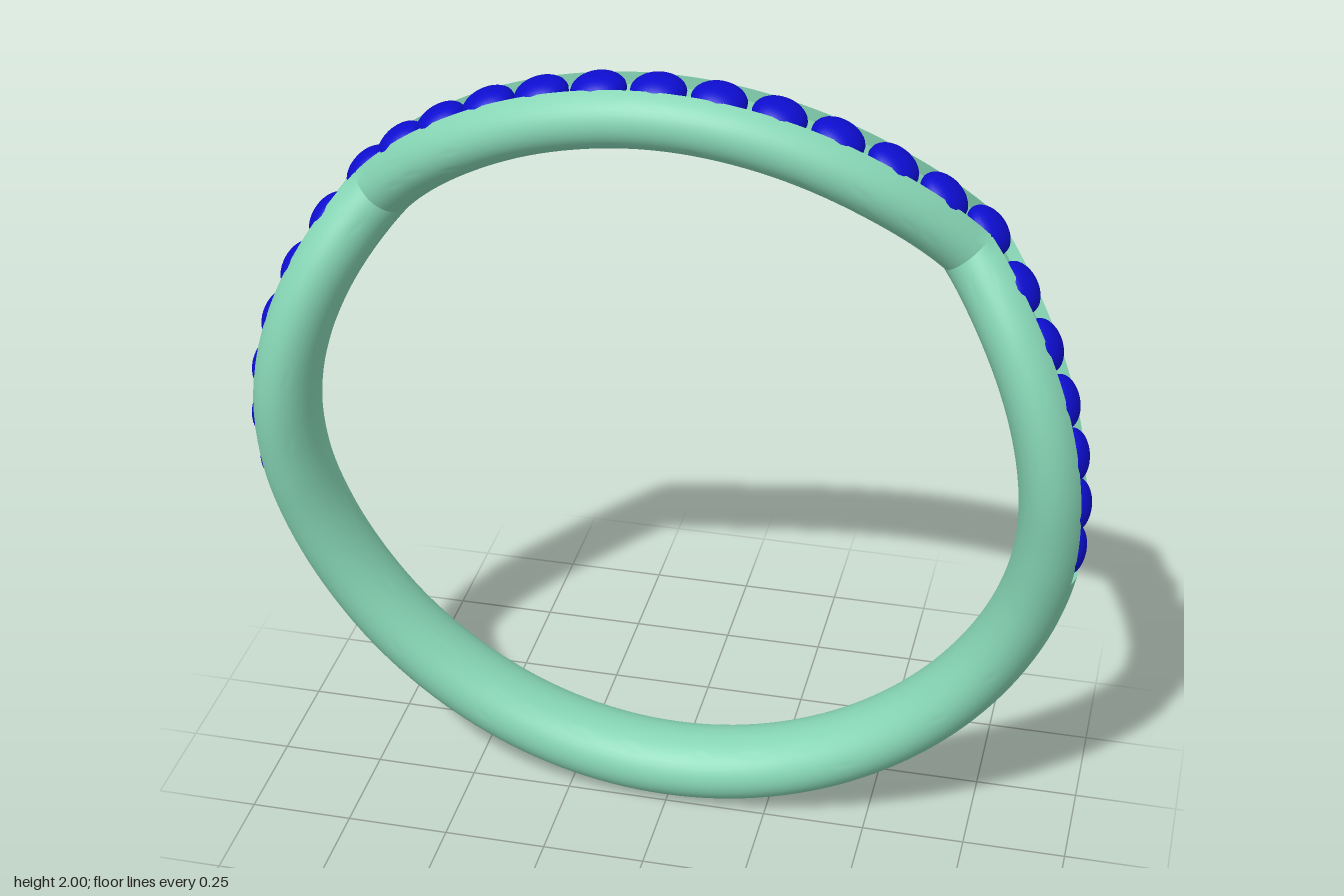
import * as THREE from 'three';
import { toCreasedNormals } from 'three/addons/utils/BufferGeometryUtils.js';

const CENTER_Y = 1.003, INNER_R = 0.831;
const HALF_WIDTH = 0.104;          // half width of the band along z
const CHANNEL = 0.051;             // half width of the stone channel
const CHANNEL_END = 100, FLOOR_R = 0.948, STONE_STEP = 8;
const KINK = 48;                   // degrees from the top where the band bends

// Sideways sway of the band, sampled evenly; first and last values only set end slopes
const curve = (values) => new THREE.SplineCurve(values.map((v, i) => new THREE.Vector2(i, v)));
const upper = curve([0.06, 0.07, 0.06, 0.02, -0.062, -0.15]);
const lower = curve([-0.138, -0.062, 0.012, 0.05, 0.053, 0.025, -0.014, -0.042,
  -0.056, -0.063, -0.065, -0.065, -0.065, -0.065]);

function sway(deg) {
  const d = Math.abs(deg);
  return d <= KINK
    ? upper.getPoint((1 + d / 16) / 5).y
    : lower.getPoint((1 + (d - KINK) / 12) / 13).y;
}

// Oval cross-section as [radius, z] pairs, with the channel cut into its outer side
function section(deg) {
  const t = THREE.MathUtils.degToRad(deg);
  const a = 0.078 + 0.007 * Math.max(0, -Math.cos(t));
  const mid = INNER_R + a, z0 = sway(deg);
  const grooved = Math.abs(deg) <= CHANNEL_END;
  const start = Math.asin(CHANNEL / HALF_WIDTH);
  const pts = [];
  for (let i = 0; i <= 40; i++) {
    const p = start + (i / 40) * (2 * Math.PI - 2 * start);
    pts.push([mid + a * Math.cos(p), z0 + HALF_WIDTH * Math.sin(p)]);
  }
  for (let i = 0; i <= 8; i++) {
    const z = CHANNEL * (i / 4 - 1);
    const r = grooved ? FLOOR_R : mid + a * Math.sqrt(1 - (z / HALF_WIDTH) ** 2);
    pts.push([r, z0 + z]);
  }
  return pts;
}

function bandGeometry() {
  const angles = [];
  for (let d = -180; d <= 180; d += 2) angles.push(d);
  angles.push(CHANNEL_END + 0.02, -CHANNEL_END - 0.02);   // steep channel ends
  angles.sort((p, q) => p - q);

  const positions = [], index = [];
  let n = 0;
  angles.forEach((deg, i) => {
    const t = THREE.MathUtils.degToRad(deg);
    const pts = section(deg);
    n = pts.length;
    for (const [r, z] of pts) positions.push(r * Math.sin(t), CENTER_Y + r * Math.cos(t), z);
    if (i === 0) return;
    for (let j = 0; j < n; j++) {
      const k = (j + 1) % n, p = (i - 1) * n, q = i * n;
      index.push(p + j, p + k, q + k, p + j, q + k, q + j);
    }
  });
  const geo = new THREE.BufferGeometry();
  geo.setAttribute('position', new THREE.Float32BufferAttribute(positions, 3));
  geo.setIndex(index);
  return toCreasedNormals(geo, 0.42);
}

export function createModel() {
  const model = new THREE.Group();
  model.name = 'ring';

  const band = new THREE.Mesh(bandGeometry(), new THREE.MeshStandardMaterial({ color: 0x86d5b5 }));
  band.name = 'band';
  model.add(band);

  // Row of domed stones; the channel walls trim their sides
  const stones = new THREE.Group();
  stones.name = 'stones';
  const stoneGeo = new THREE.SphereGeometry(1, 24, 16).scale(0.062, 0.037, 0.062);
  const stoneMat = new THREE.MeshStandardMaterial({ color: 0x0d0dd0 });
  for (let d = -96; d <= 96; d += STONE_STEP) {
    const t = THREE.MathUtils.degToRad(d), r = 0.958;
    const slope = (sway(d + 2) - sway(d - 2)) / THREE.MathUtils.degToRad(4);
    const stone = new THREE.Mesh(stoneGeo, stoneMat);
    stone.name = 'stone';
    stone.position.set(r * Math.sin(t), CENTER_Y + r * Math.cos(t), sway(d));
    stone.rotation.set(0, -Math.atan(slope), -t, 'ZYX');
    stones.add(stone);
  }
  model.add(stones);
  return model;
}
